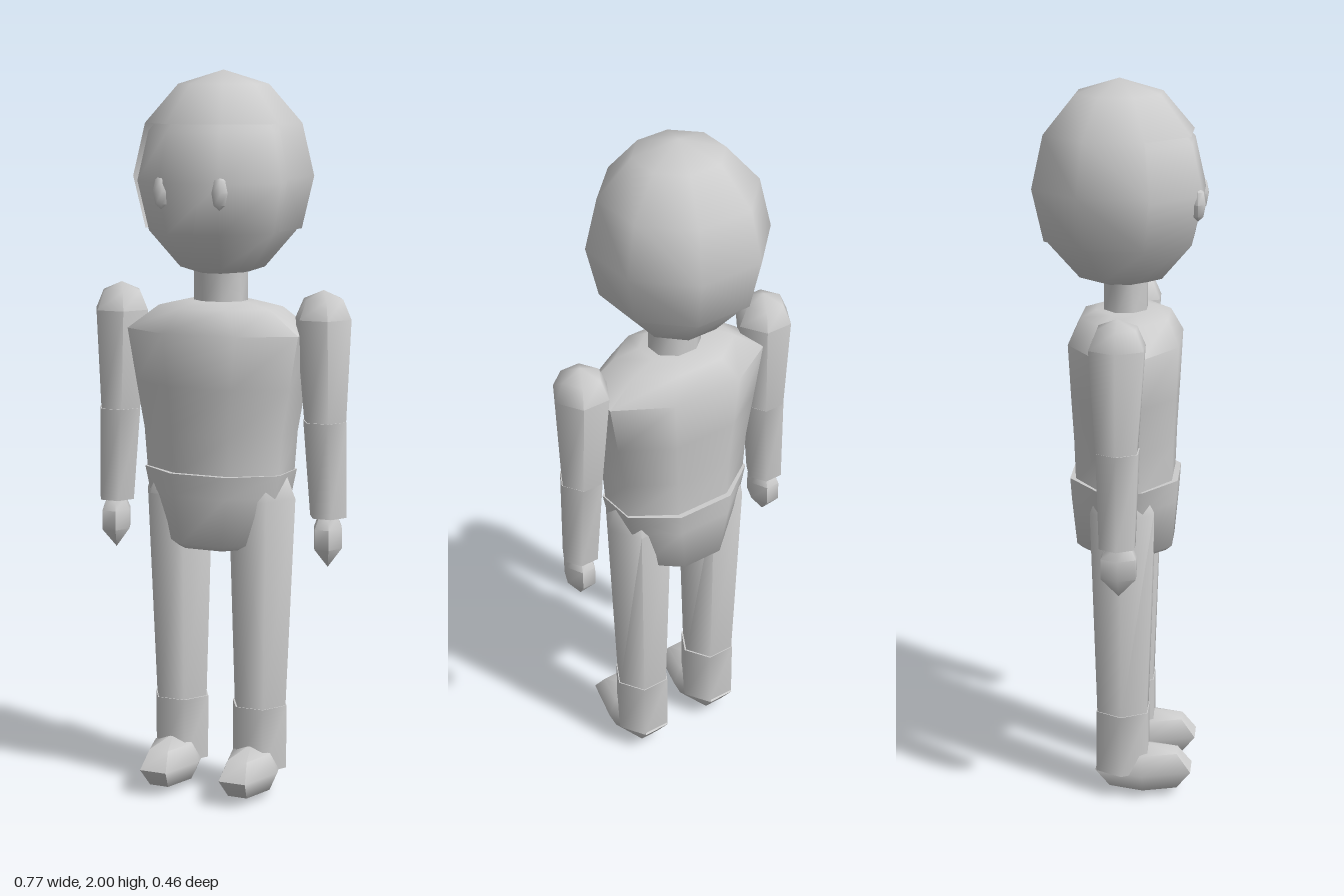
import * as THREE from 'three';
import { toCreasedNormals } from 'three/addons/utils/BufferGeometryUtils.js';

const grey = new THREE.MeshStandardMaterial({ color: 0xcccccc });
grey.name = 'plain grey';

// Closed loft: rings are [y, halfX, halfZ, centreX, centreZ], listed from bottom to top.
// Six-sided rings point along x; eight-sided rings have flats on x and z.
function loft(n, rings, z0 = 0) {
  const pos = [], index = [];
  const offset = n === 8 ? Math.PI / 8 : 0;
  const sx = n === 8 ? 1 / Math.cos(Math.PI / 8) : 1;
  const sz = n === 8 ? sx : 1 / Math.cos(Math.PI / 6);
  for (const [y, hx, hz, cx = 0, cz = z0] of rings) {
    for (let i = 0; i < n; i++) {
      const a = offset + (i / n) * Math.PI * 2;
      pos.push(cx + Math.cos(a) * hx * sx, y, cz - Math.sin(a) * hz * sz);
    }
  }
  for (let r = 0; r < rings.length - 1; r++) {
    for (let i = 0; i < n; i++) {
      const a = r * n + i, b = r * n + (i + 1) % n;
      if (rings[r][1] > 0) index.push(a, b, b + n);
      if (rings[r + 1][1] > 0) index.push(a, b + n, a + n);
    }
  }
  // end caps
  const top = (rings.length - 1) * n;
  for (let i = 1; i < n - 1; i++) {
    if (rings[0][1] > 0) index.push(0, i + 1, i);
    if (rings[rings.length - 1][1] > 0) index.push(top, top + i, top + i + 1);
  }
  const g = new THREE.BufferGeometry();
  g.setAttribute('position', new THREE.Float32BufferAttribute(pos, 3));
  g.setIndex(index);
  return toCreasedNormals(g, 1.1);
}

// Low-sided ellipsoid as loft rings
function ball(rows, y, ry, hx, hz, cx, cz) {
  return Array.from({ length: rows + 1 }, (_, i) => {
    const t = Math.PI * (1 - i / rows);
    const s = i === 0 || i === rows ? 0 : Math.sin(t);
    return [y + Math.cos(t) * ry, hx * s, hz * s, cx, cz];
  });
}

function add(parent, name, geometry, material = grey) {
  const m = new THREE.Mesh(geometry, material);
  m.name = name;
  parent.add(m);
  return m;
}

export function createModel() {
  const model = new THREE.Group();
  model.name = 'figure';

  // head
  const head = new THREE.Group();
  head.name = 'head';
  model.add(head);
  add(head, 'face', loft(8, ball(6, 1.702, 0.27, 0.213, 0.222, 0, 0.001)));

  // hair: full crown, then sides and back only, open over the face
  const hairMat = grey.clone();
  hairMat.name = 'hair grey';
  hairMat.side = THREE.DoubleSide;
  const R = 1 / Math.cos(Math.PI / 8);
  const hairPart = (phi, count, theta, rows) => {
    const g = new THREE.SphereGeometry(R, count, rows, phi, count * Math.PI / 4, theta, rows * Math.PI / 6);
    g.scale(0.228, 0.285 / R, 0.227);
    g.translate(0, 1.715, -0.006);
    return g;
  };
  add(head, 'hairCrown', hairPart(Math.PI / 8, 8, 0, 2), hairMat);
  // phi = 0 points to -x and pi/2 to +z, so the gap covers the three front faces
  add(head, 'hairBack', hairPart(Math.PI * 7 / 8, 5, Math.PI / 3, 2), hairMat);

  // neck, torso and hips
  add(model, 'neck', loft(8, [[1.36, 0.07, 0.058], [1.48, 0.07, 0.058]], 0.012));
  add(model, 'torso', loft(8, [
    [0.9, 0.198, 0.132], [1.02, 0.207, 0.136], [1.15, 0.23, 0.143], [1.295, 0.255, 0.15],
    [1.362, 0.165, 0.118], [1.378, 0.095, 0.08],
  ], 0.013));
  add(model, 'pelvis', loft(8, [
    [0.7, 0.13, 0.115], [0.715, 0.147, 0.132], [0.85, 0.19, 0.144], [0.912, 0.203, 0.148],
  ], 0.013));

  for (const [side, s] of [['left', 1], ['right', -1]]) {
    // eye
    add(head, side + 'Eye', loft(6, ball(4, 1.68, 0.046, 0.024, 0.02, s * 0.085, 0.21)));

    // arm with rounded shoulder
    const arm = new THREE.Group();
    arm.name = side + 'Arm';
    model.add(arm);
    add(arm, 'upperArm', loft(6, [
      [1.06, 0.061, 0.054, s * 0.31], [1.34, 0.081, 0.072, s * 0.303],
      [1.393, 0.057, 0.051, s * 0.303], [1.417, 0, 0, s * 0.303],
    ], 0.0135));
    add(arm, 'lowerArm', loft(6, [
      [0.8, 0.053, 0.047, s * 0.322], [1.062, 0.063, 0.056, s * 0.31],
    ], 0.0155));
    add(arm, 'hand', loft(6, [
      [0.66, 0, 0], [0.715, 0.041, 0.047], [0.77, 0.041, 0.047], [0.803, 0.028, 0.03],
    ].map(([y, x, z]) => [y, x, z, s * 0.323]), 0.019));

    // leg with rounded hip
    const leg = new THREE.Group();
    leg.name = side + 'Leg';
    model.add(leg);
    add(leg, 'legShaft', loft(6, [
      [0.24, 0.077, 0.069, s * 0.121], [0.84, 0.1, 0.087, s * 0.125],
      [0.91, 0.071, 0.062, s * 0.125], [0.94, 0, 0, s * 0.125],
    ], 0.0145));

    // boot
    add(leg, 'bootShaft', loft(6, [
      [0.072, 0.081, 0.072, s * 0.12], [0.252, 0.082, 0.072, s * 0.12],
    ], 0.0145));
    add(leg, 'bootFoot', loft(6, ball(4, 0.073, 0.073, 0.079, 0.134, s * 0.12, 0.073)));
  }
  return model;
}
